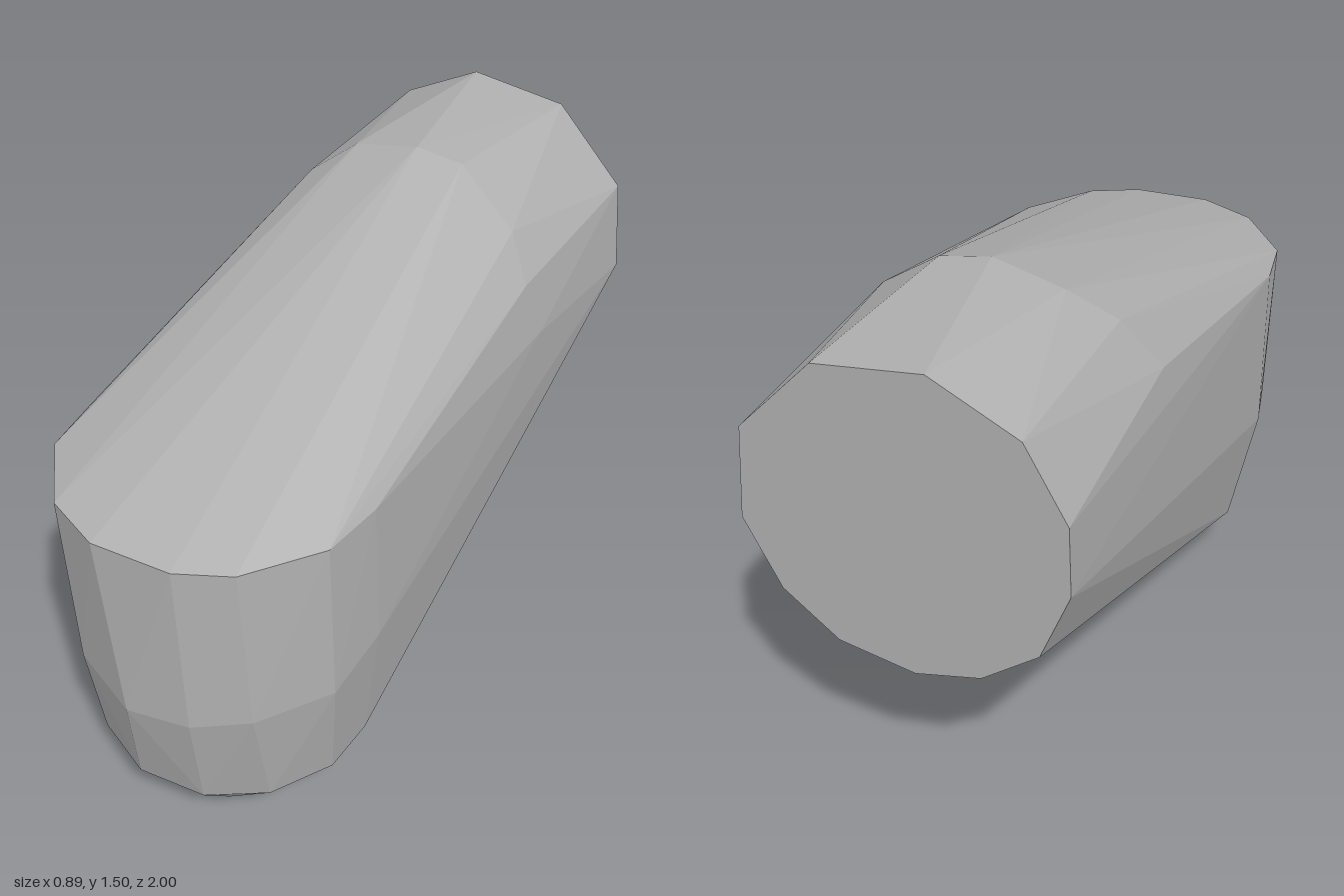
import * as THREE from 'three';
import { ConvexGeometry } from 'three/addons/geometries/ConvexGeometry.js';

// Faceted elbow-shaped shell: a rounded upright front end swept up to a flat rear end.
export function createModel() {
  const grey = new THREE.MeshStandardMaterial({ color: 0xb0b0b0, flatShading: true });
  grey.name = 'grey';

  // Flat rear end, as x, y on z = -1
  const rear = [[0.2, 1.45], [-0.09, 1.487], [-0.32, 1.37], [-0.43, 1.17], [-0.435, 0.975], [-0.355, 0.77],
    [-0.2, 0.65], [-0.02, 0.605], [0.19, 0.645], [0.34, 0.765], [0.435, 0.96], [0.41, 1.23]]
    .map(([x, y]) => [x, y, -1]);

  // Arched bend on top
  const bend = [[-0.42, 1.22, -0.35], [-0.32, 1.36, -0.4], [-0.2, 1.45, -0.46], [0, 1.495, -0.45],
    [0.14, 1.475, -0.46], [0.33, 1.34, -0.41], [0.41, 1.22, -0.35], [0.443, 1.045, -0.4]];

  // Sharp front rim, as x, z on y = 1.045
  const rim = [[-0.445, 0.55], [-0.42, 0.72], [-0.27, 0.91], [-0.1, 0.985], [0.13, 0.975],
    [0.27, 0.905], [0.41, 0.71], [0.43, 0.52]].map(([x, z]) => [x, 1.045, z]);

  // Widest ring of the front
  const waist = [[-0.445, 0.535, 0.55], [-0.41, 0.53, 0.71], [-0.24, 0.53, 0.91], [-0.03, 0.515, 1],
    [0.15, 0.525, 0.975], [0.29, 0.54, 0.89], [0.42, 0.55, 0.7], [0.435, 0.6, 0.5]];

  // Lower ring, where the front turns under
  const lower = [[-0.38, 0.185, 0.5], [-0.31, 0.16, 0.75], [-0.25, 0.185, 0.84], [-0.07, 0.185, 0.925],
    [0.13, 0.185, 0.91], [0.28, 0.185, 0.81], [0.375, 0.185, 0.64], [0.38, 0.185, 0.47]];

  // Rounded underside
  const under = [[-0.05, 0.1, 0.85], [0.15, 0.1, 0.82], [0.02, 0.03, 0.71], [-0.25, 0.06, 0.58], [0.3, 0.1, 0.6],
    [0.14, 0.02, 0.56], [-0.04, 0, 0.57], [-0.2, 0.06, 0.4], [0, 0.02, 0.4], [0.2, 0.055, 0.4]];

  const points = [rear, bend, rim, waist, lower, under].flat().map((p) => new THREE.Vector3(...p));
  const shell = new THREE.Mesh(new ConvexGeometry(points), grey);
  shell.name = 'shell';

  const group = new THREE.Group();
  group.name = 'facetedShell';
  group.add(shell);
  return group;
}
